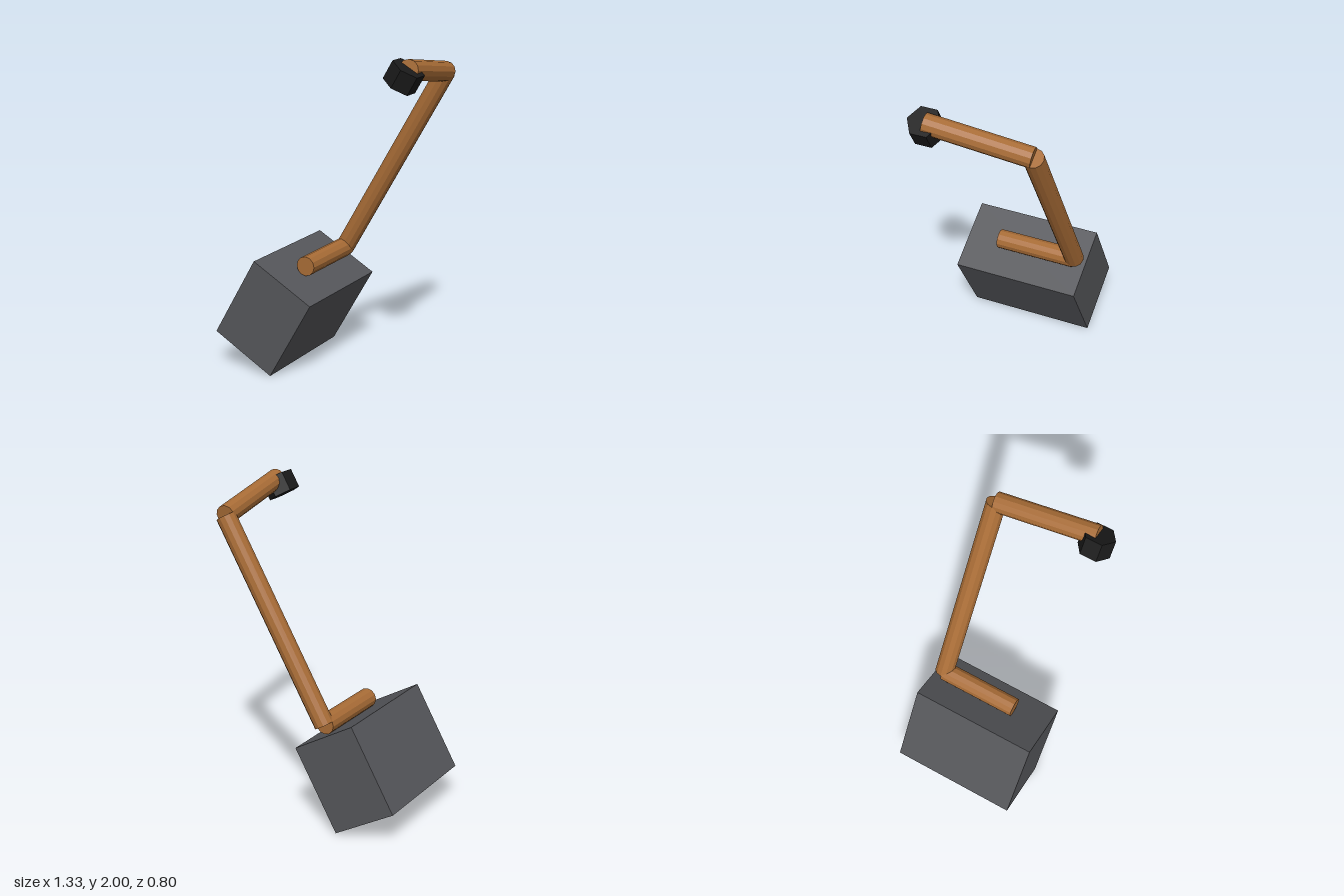
import * as THREE from 'three';

const mat = (color) => new THREE.MeshStandardMaterial({ color, flatShading: true });

export function createModel() {
  const model = new THREE.Group();
  model.name = 'crankHandle';

  const grey = mat(0x55565a);
  const wood = mat(0xa86c36);
  const black = mat(0x1a1a1a);

  // Everything leans 30 degrees; the origin is the middle of the block's top
  const lean = new THREE.Group();
  lean.name = 'leaningAssembly';
  lean.position.set(-0.185, 0.607, 0);
  lean.rotation.z = -Math.PI / 6;
  model.add(lean);

  const add = (name, geometry, material) => {
    const mesh = new THREE.Mesh(geometry, material);
    mesh.name = name;
    lean.add(mesh);
    return mesh;
  };

  // Straight round bar between two points
  const rod = (name, from, to, radius = 0.061) => {
    const a = new THREE.Vector3(...from);
    const b = new THREE.Vector3(...to);
    const dir = b.clone().sub(a);
    const mesh = add(name, new THREE.CylinderGeometry(radius, radius, dir.length(), 12), wood);
    mesh.position.copy(a).add(b).multiplyScalar(0.5);
    mesh.quaternion.setFromUnitVectors(new THREE.Vector3(0, 1, 0), dir.normalize());
  };

  // Heavy block
  add('block', new THREE.BoxGeometry(0.45, 0.57, 0.8), grey).position.y = -0.285;

  // Three bars of the crank
  rod('lowerBar', [0, 0.061, 0.17], [0, 0.061, -0.332]);
  rod('longBar', [0, 0.061, -0.335], [0, 1.425, -0.335]);
  rod('upperBar', [0, 1.429, -0.335], [0, 1.538, 0.285]);

  // Hexagonal end nut
  add('endNut', new THREE.CylinderGeometry(0.101, 0.101, 0.12, 6), black)
    .position.set(-0.002, 1.491, 0.287);

  return model;
}
